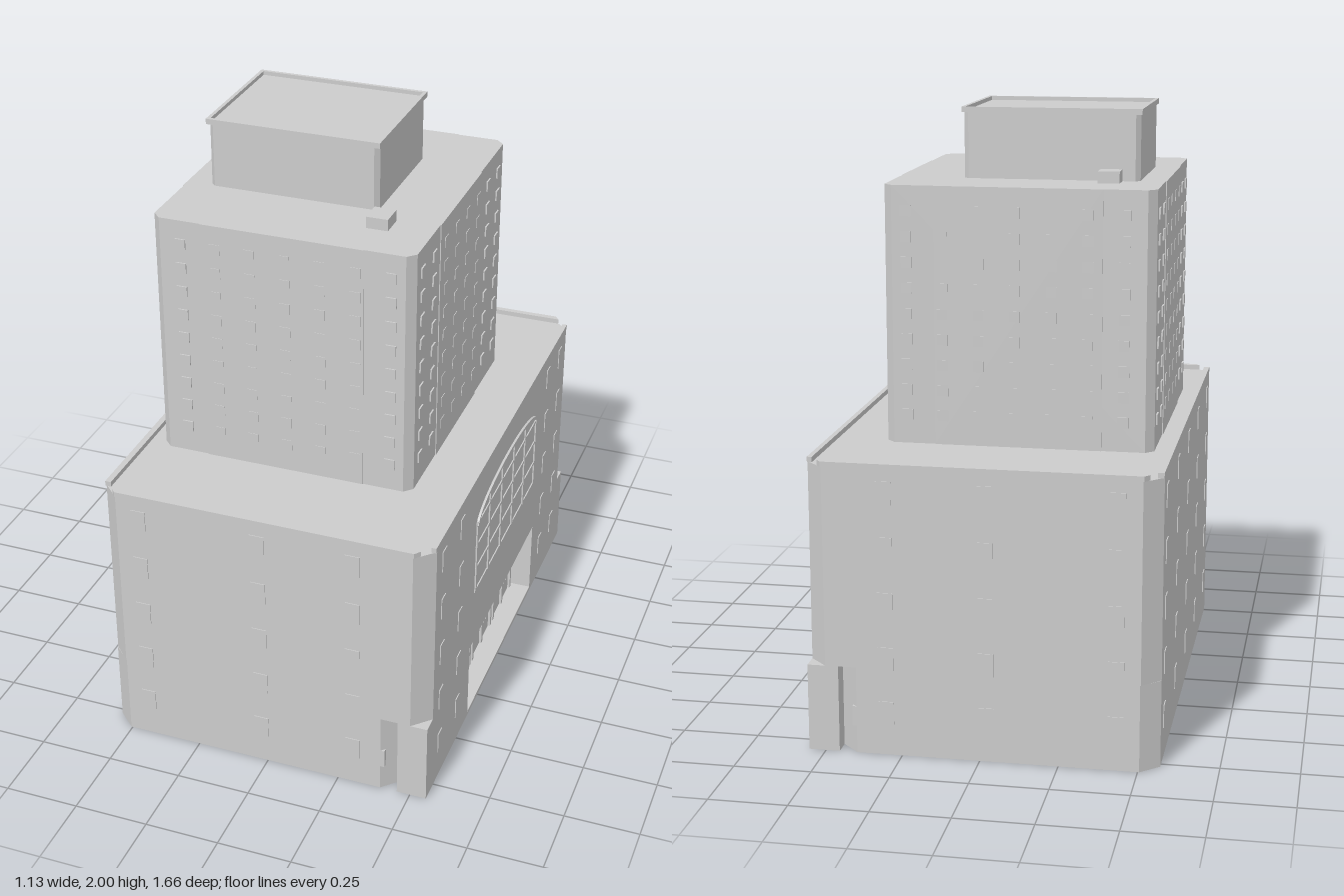
import * as THREE from 'three';
import { mergeGeometries } from 'three/addons/utils/BufferGeometryUtils.js';

const stone = new THREE.MeshStandardMaterial({ color: 0xcccccc });
stone.name = 'pale grey stone';

function add(group, name, geometry) {
  const mesh = new THREE.Mesh(geometry, stone);
  mesh.name = name;
  group.add(mesh);
}

// box given by its limits
function box(x0, x1, y0, y1, z0, z1) {
  return new THREE.BoxGeometry(x1 - x0, y1 - y0, z1 - z0)
    .translate((x0 + x1) / 2, (y0 + y1) / 2, (z0 + z1) / 2);
}

// upright prism over a footprint of [x, z] points
function prism(points, y0, y1) {
  const shape = new THREE.Shape(points.map(([x, z]) => new THREE.Vector2(x, -z)));
  return new THREE.ExtrudeGeometry(shape, { depth: y1 - y0, bevelEnabled: false })
    .rotateX(-Math.PI / 2).translate(0, y0, 0);
}

// rectangle with cut corners
function cutRect(x0, x1, z0, z1, c) {
  return [[x0 + c, z1], [x1 - c, z1], [x1, z1 - c], [x1, z0 + c],
    [x1 - c, z0], [x0 + c, z0], [x0, z0 + c], [x0, z1 - c]];
}

// thin plates in a grid on one wall; axis is the wall's normal
function windows(axis, wall, sign, columns, rows, w, h, t = 0.003) {
  const list = [];
  const lo = Math.min(wall, wall + sign * t), hi = Math.max(wall, wall + sign * t);
  for (const c of columns) for (const y of rows) {
    list.push(axis === 'x'
      ? box(lo, hi, y - h / 2, y + h / 2, c - w / 2, c + w / 2)
      : box(c - w / 2, c + w / 2, y - h / 2, y + h / 2, lo, hi));
  }
  return mergeGeometries(list);
}

const spread = (a, b, n) => Array.from({ length: n }, (_, i) => a + (b - a) * i / (n - 1));

const L = -0.565, R = 0.555, D = 0.825, ROOF = 0.935;

function createBase() {
  const g = new THREE.Group();
  g.name = 'base';

  // ground storey: cut corners on one side, slanted niches near the other
  const footprint = (recess) => [
    [L, 0.77], [-0.505, D], [0.397, D], [0.455, 0.767], [0.455, D], [R, D],
    ...(recess ? [[R, 0.37], [0.475, 0.37], [0.475, -0.415], [R, -0.415]] : []),
    [R, -D], [0.455, -D], [0.455, -0.767], [0.397, -D], [-0.505, -D], [L, -0.77]];
  add(g, 'plinth', prism(footprint(false), 0, 0.015));
  add(g, 'groundStorey', prism(footprint(true), 0.015, 0.285));
  add(g, 'upperStoreys', prism(cutRect(L, R, -D, D, 0.058), 0.285, ROOF));
  for (const s of [1, -1]) {
    const a = s * 0.81, b = s * D;
    add(g, 'nicheBracket', box(0.397, 0.411, 0.09, 0.155, Math.min(a, b), Math.max(a, b)));
  }

  // parapet strips stop short of the cut corners
  for (const s of [1, -1]) {
    add(g, 'parapet', prism([[-0.51, s * D], [0.5, s * D], [0.515, s * 0.805], [-0.525, s * 0.805]], ROOF, 0.952));
  }
  add(g, 'parapet', box(L, L + 0.02, ROOF, 0.952, -0.775, 0.775));
  add(g, 'parapet', box(R - 0.016, R, ROOF, 0.952, -0.775, 0.775));

  // windows
  const rows = spread(0.14, 0.86, 5);
  for (const s of [1, -1]) {
    add(g, 'endWindows', windows('z', s * D, s, [-0.43, -0.02, 0.3], rows, 0.05, 0.075));
  }
  add(g, 'sideWindows', windows('x', L, -1, [-0.68, -0.34, 0, 0.34, 0.68], rows, 0.05, 0.075));
  add(g, 'entranceSideWindows', windows('x', R, 1, [-0.69, -0.53, 0.5, 0.69], rows, 0.04, 0.075));
  return g;
}

function createEntrance() {
  const g = new THREE.Group();
  g.name = 'entrance';
  const back = 0.475;

  // lintel and three pairs of framed doors
  add(g, 'lintel', box(back, back + 0.02, 0.247, 0.285, -0.415, 0.37));
  for (const c of [0.23, -0.025, -0.28]) {
    add(g, 'doorHead', box(back, back + 0.012, 0.235, 0.247, c - 0.11, c + 0.11));
    for (const o of [-0.11, 0, 0.11]) {
      add(g, 'doorPost', box(back, back + 0.012, 0.015, 0.247, c + o - 0.007, c + o + 0.007));
    }
    for (const s of [-1, 1]) {
      const m = c + s * 0.055;
      add(g, 'doorLeaf', box(back, back + 0.006, 0.02, 0.228, m - 0.038, m + 0.038));
      const h = c + s * 0.012;
      add(g, 'doorHandle', box(back, back + 0.022, 0.115, 0.145, h - 0.004, h + 0.004));
    }
  }
  return g;
}

function createArchedWindow() {
  const g = new THREE.Group();
  g.name = 'archedWindow';
  const mid = -0.022, half = 0.362, foot = 0.765, sill = 0.5;
  const archY = (t, rise) => foot + rise * Math.sqrt(Math.max(0, 1 - t * t));

  // curved hood over the opening
  const shape = new THREE.Shape();
  const steps = spread(-Math.PI / 2, Math.PI / 2, 25).map(Math.sin);
  steps.forEach((t, i) => {
    const x = -mid + t * half, y = archY(t, 0.08);
    i ? shape.lineTo(x, y) : shape.moveTo(x, y);
  });
  [...steps].reverse().forEach((t) => shape.lineTo(-mid + t * (half - 0.012), archY(t, 0.068)));
  add(g, 'archHood', new THREE.ExtrudeGeometry(shape, { depth: 0.008, bevelEnabled: false })
    .rotateY(Math.PI / 2).translate(R, 0, 0));

  // glazing bars
  for (const t of spread(-0.98, 0.98, 6)) {
    const z = mid + t * half;
    add(g, 'uprightBar', box(R, R + 0.005, sill, archY(t, 0.07), z - 0.006, z + 0.006));
  }
  for (const y of [sill, 0.59, 0.68, 0.765]) {
    add(g, 'crossBar', box(R, R + 0.004, y - 0.005, y + 0.005, mid - half, mid + half));
  }
  return g;
}

function createTower() {
  const g = new THREE.Group();
  g.name = 'tower';
  const x0 = -0.497, x1 = 0.373, z = 0.48, top = 1.77;
  add(g, 'towerBody', prism(cutRect(x0, x1, -z, z, 0.027), ROOF, top));

  // shallow raised bays
  add(g, 'sideBay', box(x0 - 0.003, x0, ROOF, top, -0.23, 0.23));
  add(g, 'sideBay', box(x1, x1 + 0.003, ROOF, top, -0.2, 0.23));
  for (const s of [1, -1]) {
    const a = s * z, b = s * (z + 0.003);
    add(g, 'endBay', box(-0.33, 0.21, ROOF, top, Math.min(a, b), Math.max(a, b)));
  }

  // windows
  const rows = spread(1.03, 1.69, 9);
  for (const s of [1, -1]) {
    add(g, 'endWindows', windows('z', s * z, s, spread(-0.4, 0.3, 7), rows, 0.035, 0.035, 0.005));
    add(g, 'sideWindows', windows('x', s > 0 ? x1 : x0, s, spread(-0.4, 0.4, 8), rows, 0.035, 0.035, 0.005));
  }
  return g;
}

function createPenthouse() {
  const g = new THREE.Group();
  g.name = 'penthouse';
  add(g, 'penthouseBody', prism(cutRect(-0.417, 0.157, -0.257, 0.197, 0.015), 1.77, 1.987));

  // raised rim round the roof
  const x0 = -0.423, x1 = 0.163, z0 = -0.262, z1 = 0.203, t = 0.012;
  for (const [a, b] of [[z0, z0 + t], [z1 - t, z1]]) add(g, 'roofRim', box(x0, x1, 1.982, 2, a, b));
  for (const [a, b] of [[x0, x0 + t], [x1 - t, x1]]) add(g, 'roofRim', box(a, b, 1.982, 2, z0 + t, z1 - t));

  // rooftop units
  add(g, 'rooftopUnit', box(0.163, 0.235, 1.77, 1.808, 0.25, 0.33));
  add(g, 'rooftopUnit', box(-0.36, -0.29, 1.77, 1.808, -0.325, -0.257));
  return g;
}

export function createModel() {
  const model = new THREE.Group();
  model.name = 'steppedBuilding';
  model.add(createBase(), createEntrance(), createArchedWindow(), createTower(), createPenthouse());
  return model;
}
